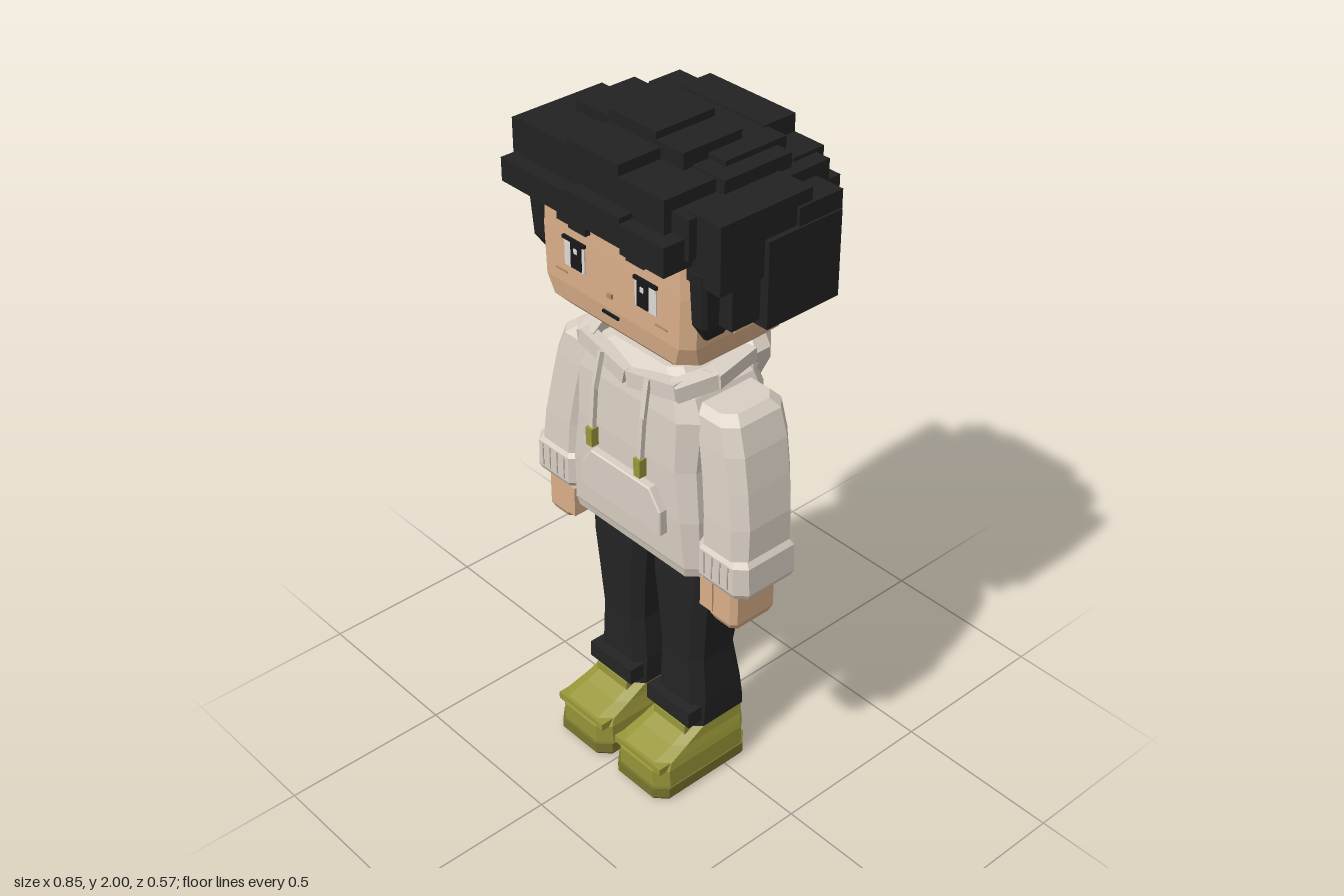
import * as THREE from 'three';

const mat = (name, color, extra = {}) => Object.assign(new THREE.MeshStandardMaterial({ color, ...extra }), { name });

export function createModel() {
  const root = new THREE.Group();
  root.name = 'blockFigure';
  const M = {
    skin: mat('skin', 0xd9ae88),
    blush: mat('skinShade', 0xb98a66),
    hair: mat('hair', 0x222222),
    cloth: mat('hoodie', 0xd9cfc3),
    seam: mat('hoodieSeam', 0xb5aa9e),
    trousers: mat('trousers', 0x242425),
    shoe: mat('shoe', 0x99973a),
    sole: mat('sole', 0x77752c),
    white: mat('eyeWhite', 0xdedbd6),
    dark: mat('ink', 0x17181a),
  };

  const add = (name, geo, m, parent = root) => {
    const mesh = new THREE.Mesh(geo, m);
    mesh.name = name;
    parent.add(mesh);
    return mesh;
  };

  // Box given by its limits on each axis
  const box = (name, m, x0, x1, y0, y1, z0, z1, parent = root) => {
    const mesh = add(name, new THREE.BoxGeometry(Math.abs(x1 - x0), y1 - y0, z1 - z0), m, parent);
    mesh.position.set((x0 + x1) / 2, (y0 + y1) / 2, (z0 + z1) / 2);
    return mesh;
  };

  // Bar with a rectangular section between two points
  const bar = (name, m, a, b, w, h, parent = root) => {
    const A = new THREE.Vector3(...a), B = new THREE.Vector3(...b);
    const mesh = add(name, new THREE.BoxGeometry(w, h, A.distanceTo(B)), m, parent);
    mesh.position.copy(A).add(B).multiplyScalar(0.5);
    mesh.lookAt(B);
    return mesh;
  };

  // Stack of chamfered rectangles [y, x0, x1, z0, z1, chamfer], mirrored when s = -1
  const loft = (name, m, sections, s = 1, parent = root) => {
    const rings = sections.map(([y, p, q, z0, z1, c]) => {
      const x0 = s > 0 ? p : -q, x1 = s > 0 ? q : -p;
      return [[x1, z1 - c], [x1, z0 + c], [x1 - c, z0], [x0 + c, z0],
        [x0, z0 + c], [x0, z1 - c], [x0 + c, z1], [x1 - c, z1]].map(([x, z]) => [x, y, z]);
    });
    const pos = [];
    const tri = (a, b, c) => pos.push(...a, ...b, ...c);
    for (let j = 0; j < rings.length - 1; j++) {
      for (let i = 0; i < 8; i++) {
        const k = (i + 1) % 8, lo = rings[j], hi = rings[j + 1];
        tri(lo[i], lo[k], hi[k]);
        tri(lo[i], hi[k], hi[i]);
      }
    }
    const bot = rings[0], top = rings[rings.length - 1];
    for (let i = 1; i < 7; i++) {
      tri(top[0], top[i], top[i + 1]);
      tri(bot[0], bot[i + 1], bot[i]);
    }
    const g = new THREE.BufferGeometry();
    g.setAttribute('position', new THREE.Float32BufferAttribute(pos, 3));
    g.computeVertexNormals();
    return add(name, g, m, parent);
  };

  // Head and neck
  loft('head', M.skin, [
    [1.435, -.24, .24, -.12, .17, .05], [1.465, -.27, .27, -.155, .198, .04],
    [1.52, -.28, .28, -.165, .205, .03], [1.66, -.285, .285, -.17, .205, .03], [1.84, -.275, .275, -.17, .2, .03],
  ]);
  loft('neck', M.skin, [[1.3, -.085, .085, -.075, .085, .015], [1.45, -.085, .085, -.075, .085, .015]]);

  // Face
  const face = new THREE.Group();
  face.name = 'face';
  root.add(face);
  for (const s of [-1, 1]) {
    box('ear', M.skin, s * .27, s * .31, 1.54, 1.66, -.03, .075);
    box('eyeWhite', M.white, s * .095, s * .172, 1.58, 1.66, .203, .209, face);
    box('iris', M.dark, s * .105, s * .145, 1.583, 1.657, .207, .212, face);
    box('upperLid', M.dark, s * .092, s * .176, 1.655, 1.664, .205, .213, face);
    box('eyeGlint', M.white, s * .125 - .006, s * .125 + .006, 1.628, 1.642, .21, .214, face);
    box('browInner', M.hair, s * .075, s * .14, 1.7, 1.724, .2, .22, face);
    box('browOuter', M.hair, s * .11, s * .185, 1.708, 1.732, .2, .22, face);
    box('cheekLine', M.blush, s * .165, s * .21, 1.553, 1.558, .203, .208, face);
  }
  box('nose', M.blush, -.008, .008, 1.555, 1.568, .203, .212, face);
  box('mouth', M.dark, -.03, .03, 1.502, 1.51, .203, .209, face);

  // Hair, built of overlapping blocks
  const hair = new THREE.Group();
  hair.name = 'hair';
  root.add(hair);
  [
    [-.3, .3, 1.79, 1.9, -.24, .22],          // core
    [-.29, .29, 1.62, 1.8, -.22, -.1],
    [-.105, .065, 1.9, 2.0, -.08, .11],       // crown
    [-.23, -.1, 1.9, 1.98, -.08, .11],
    [.065, .16, 1.9, 1.98, -.08, .11],
    [-.22, .22, 1.88, 1.955, -.17, .03],
    [.1, .27, 1.85, 1.94, -.14, .08],
    [-.295, -.105, 1.8, 1.95, .025, .243],    // front top
    [-.105, .08, 1.82, 1.965, .025, .243],
    [.08, .24, 1.82, 1.935, .025, .243],
    [-.315, -.07, 1.785, 1.85, .1, .285],     // fringe
    [-.07, .13, 1.78, 1.86, .1, .285],
    [.13, .285, 1.765, 1.845, .1, .285],
    [-.3, -.19, 1.76, 1.84, .1, .25],
    [-.3, .22, 1.64, 1.86, -.285, -.15],      // back
    [.22, .295, 1.66, 1.84, -.285, -.15],
    [-.15, .155, 1.8, 1.96, -.265, -.16],
    [-.265, -.15, 1.8, 1.93, -.265, -.16],
    [.155, .255, 1.8, 1.91, -.265, -.16],
    [-.26, .25, 1.54, 1.7, -.262, -.155],
  ].forEach(b => box('hairBlock', M.hair, ...b, hair));
  for (const s of [-1, 1]) {
    box('sideHairLow', M.hair, s * .27, s * .396, 1.58, 1.82, -.19, .053, hair);
    box('sideHairHigh', M.hair, s * .265, s * .381, 1.72, 1.905, -.1, .195, hair);
    box('sideHairFront', M.hair, s * .27, s * .37, 1.6, 1.78, 0, .145, hair);
    box('sideHairBack', M.hair, s * .25, s * .39, 1.62, 1.87, -.195, -.05, hair);
    loft('sideburn', M.hair, [
      [1.55, .283, .3, .1, .16, .005], [1.6, .27, .325, .08, .19, .01], [1.75, .27, .33, .08, .2, .01],
    ], s, hair);
    loft('napeLock', M.hair, [
      [1.525, .23, .29, -.17, -.07, .02], [1.57, .22, .31, -.19, -.04, .015], [1.65, .22, .31, -.19, -.03, .01],
    ], s, hair);
  }

  // Hoodie body
  loft('hoodieBody', M.cloth, [
    [.77, -.245, .245, -.13, .15, .03], [.8, -.25, .25, -.135, .157, .03], [.95, -.247, .247, -.135, .165, .035],
    [1.1, -.23, .23, -.14, .165, .04], [1.25, -.235, .235, -.148, .158, .045],
    [1.31, -.205, .205, -.135, .148, .04], [1.36, -.13, .13, -.11, .11, .03],
  ]);
  loft('hemSeam', M.seam, [[.798, -.2515, .2515, -.1365, .1585, .03], [.802, -.2515, .2515, -.1365, .1585, .03]]);

  // Front pocket with sloped upper corners
  const shape = new THREE.Shape([[-.155, .895], [.155, .895], [.155, .965], [.115, 1.02], [-.115, 1.02], [-.155, .965]]
    .map(p => new THREE.Vector2(...p)));
  add('pocket', new THREE.ExtrudeGeometry(shape, { depth: .035, bevelEnabled: true, bevelSize: .004, bevelThickness: .004, bevelSegments: 1 }), M.cloth)
    .position.z = .15;

  // Hood folded behind the neck
  loft('hood', M.cloth, [
    [1.215, -.1, .1, -.165, -.12, .02], [1.25, -.165, .165, -.19, -.1, .03], [1.32, -.2, .2, -.2, -.08, .04],
    [1.365, -.215, .215, -.195, -.04, .05], [1.4, -.185, .185, -.18, -.075, .03],
  ]);
  box('hoodSeam', M.seam, -.003, .003, 1.31, 1.37, -.2, -.19);

  for (const s of [-1, 1]) {
    // Hood rim and drawstring
    bar('hoodRimSide', M.cloth, [s * .19, 1.365, -.09], [s * .215, 1.355, .06], .055, .04);
    bar('hoodRimCorner', M.cloth, [s * .215, 1.355, .04], [s * .17, 1.335, .15], .05, .045);
    bar('hoodRimFront', M.cloth, [s * .185, 1.34, .14], [s * .005, 1.3, .145], .04, .045);
    bar('drawstring', M.cloth, [s * .09, 1.34, .165], [s * .095, 1.23, .187], .014, .014);
    bar('drawstring', M.cloth, [s * .095, 1.235, .187], [s * .095, 1.1, .198], .014, .014);
    box('drawstringTip', M.shoe, s * .083, s * .107, 1.06, 1.115, .187, .211);

    // Sleeve, cuff and ribs
    loft('sleeve', M.cloth, [
      [.88, .245, .412, -.07, .14, .03], [1.0, .235, .405, -.08, .135, .035], [1.1, .22, .387, -.09, .127, .035],
      [1.2, .2, .365, -.098, .12, .035], [1.275, .18, .338, -.1, .112, .035], [1.297, .18, .31, -.08, .09, .03],
    ], s);
    loft('cuff', M.cloth, [
      [.795, .25, .418, -.065, .138, .025], [.812, .237, .426, -.075, .147, .03],
      [.895, .237, .422, -.075, .147, .03], [.91, .25, .41, -.065, .137, .025],
    ], s);
    for (const x of [.285, .315, .345, .375]) {
      box('cuffRib', M.seam, s * (x - .002), s * (x + .002), .82, .89, .143, .1485);
    }

    // Hand and thumb
    loft('hand', M.skin, [
      [.665, .29, .375, -.02, .12, .015], [.685, .28, .383, -.03, .13, .015], [.82, .28, .383, -.03, .13, .015],
    ], s);
    box('thumb', M.skin, s * .258, s * .305, .695, .79, .06, .135);

    // Trouser leg and turned-up hem
    loft('trouserLeg', M.trousers, [
      [.185, .03, .215, -.1, .1, .025], [.27, .03, .217, -.09, .1, .03], [.42, .04, .208, -.065, .1, .03],
      [.56, .03, .22, -.085, .105, .03], [.68, .018, .233, -.1, .108, .03], [.8, .012, .235, -.1, .105, .03],
    ], s);
    box('trouserHem', M.trousers, s * .035, s * .212, .208, .26, .08, .13);

    // Shoe
    loft('sole', M.sole, [
      [0, .022, .225, -.09, .245, .03], [.012, .015, .232, -.1, .255, .035], [.045, .015, .232, -.1, .255, .035],
    ], s);
    loft('shoeUpper', M.shoe, [
      [.045, .019, .228, -.096, .247, .035], [.105, .02, .227, -.098, .25, .035], [.127, .026, .222, -.098, .24, .035],
      [.15, .032, .215, -.1, .17, .03], [.185, .037, .21, -.1, .09, .03], [.2, .045, .2, -.09, .07, .03],
    ], s);
    box('toeStrap', M.shoe, s * .028, s * .22, .105, .128, .2, .247);
    box('shoeTongue', M.shoe, s * .06, s * .19, .15, .195, .06, .125);
  }

  return root;
}
